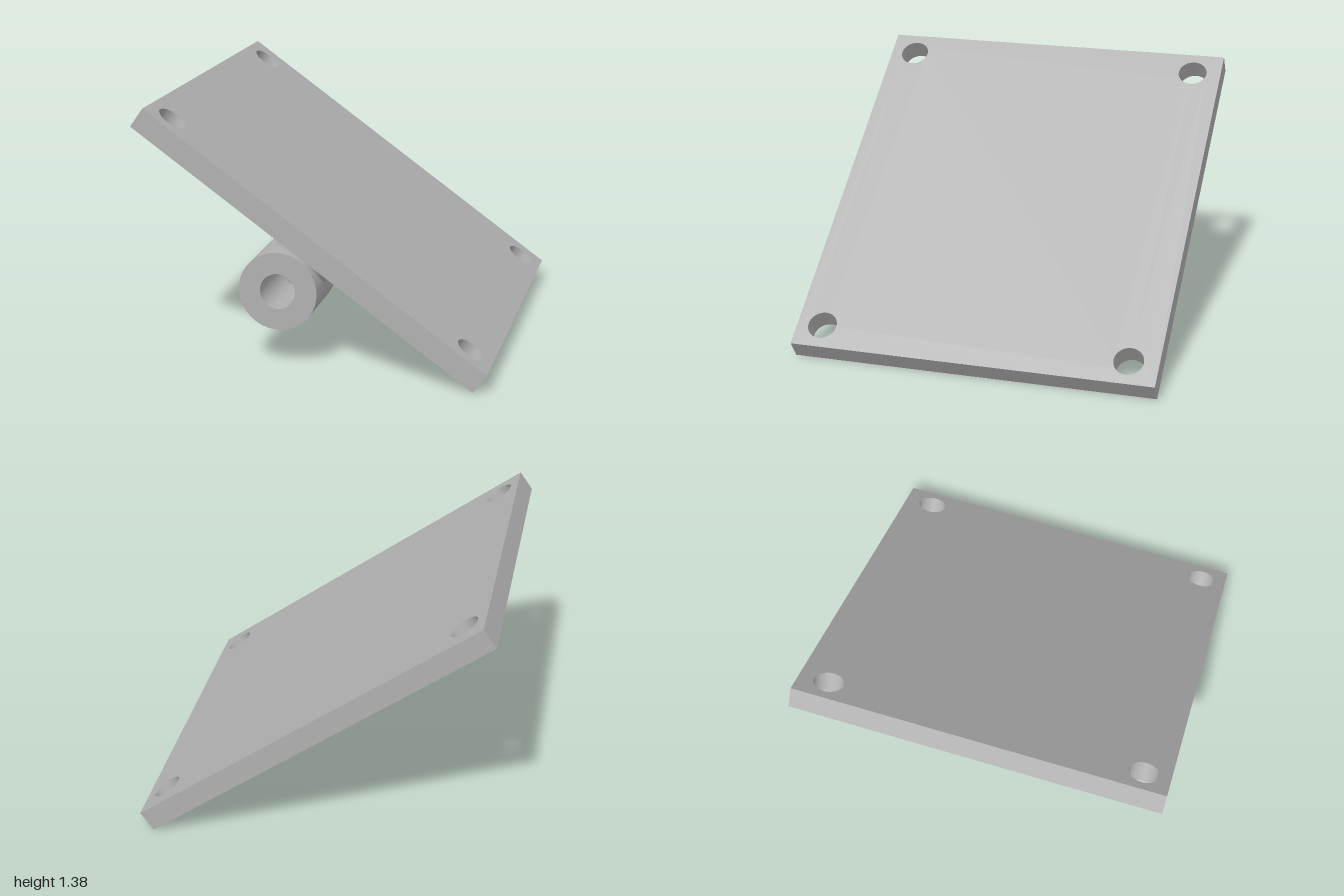
import * as THREE from 'three';
import { toCreasedNormals } from 'three/addons/utils/BufferGeometryUtils.js';

// Extrude a shape with round holes, smooth round the curves and sharp at the rims
function drilled(shape, holes, depth) {
  for (const [x, y, r] of holes) {
    shape.holes.push(new THREE.Path().absarc(x, y, r, 0, Math.PI * 2, true));
  }
  const geometry = new THREE.ExtrudeGeometry(shape, { depth, bevelEnabled: false, curveSegments: 48 });
  return toCreasedNormals(geometry, 0.6);
}

export function createModel() {
  const model = new THREE.Group();
  model.name = 'tiltedMountingPlate';
  const grey = new THREE.MeshStandardMaterial({ color: 0xb0b0b0 });
  grey.name = 'grey';

  // Everything sits in a frame tilted with the plate; its origin is the middle of the underside
  const bracket = new THREE.Group();
  bracket.name = 'bracket';
  bracket.position.set(-0.035, 0.642, 0);
  bracket.rotation.z = -THREE.MathUtils.degToRad(35.5);
  model.add(bracket);
  const add = (name, geometry, x, y, z) => {
    const mesh = new THREE.Mesh(geometry, grey);
    mesh.name = name;
    mesh.position.set(x, y, z);
    bracket.add(mesh);
  };

  // Plate with four corner holes
  const L = 1.105, W = 1;
  const outline = new THREE.Shape([[-L, -W], [L, -W], [L, W], [-L, W]].map(p => new THREE.Vector2(...p)));
  const boltHoles = [];
  for (const x of [-0.971, 0.971]) for (const y of [-0.857, 0.838]) boltHoles.push([x, y, 0.08]);
  add('plate', drilled(outline, boltHoles, 0.12).rotateX(-Math.PI / 2), 0, 0, 0);

  // Bored sleeve below the plate, towards the front
  const drop = 0.275, sleeveZ = 0.687, sleeveLength = 0.394;
  const ring = new THREE.Shape().absarc(0, 0, 0.21, 0, Math.PI * 2, false);
  add('sleeve', drilled(ring, [[0, 0, 0.095]], sleeveLength), 0, -drop, sleeveZ - sleeveLength / 2);

  // Round post joining sleeve and plate, ending in the sleeve wall short of the bore
  const postLength = drop - 0.11;
  add('post', new THREE.CylinderGeometry(0.165, 0.165, postLength, 64), 0, -postLength / 2, sleeveZ);

  return model;
}
